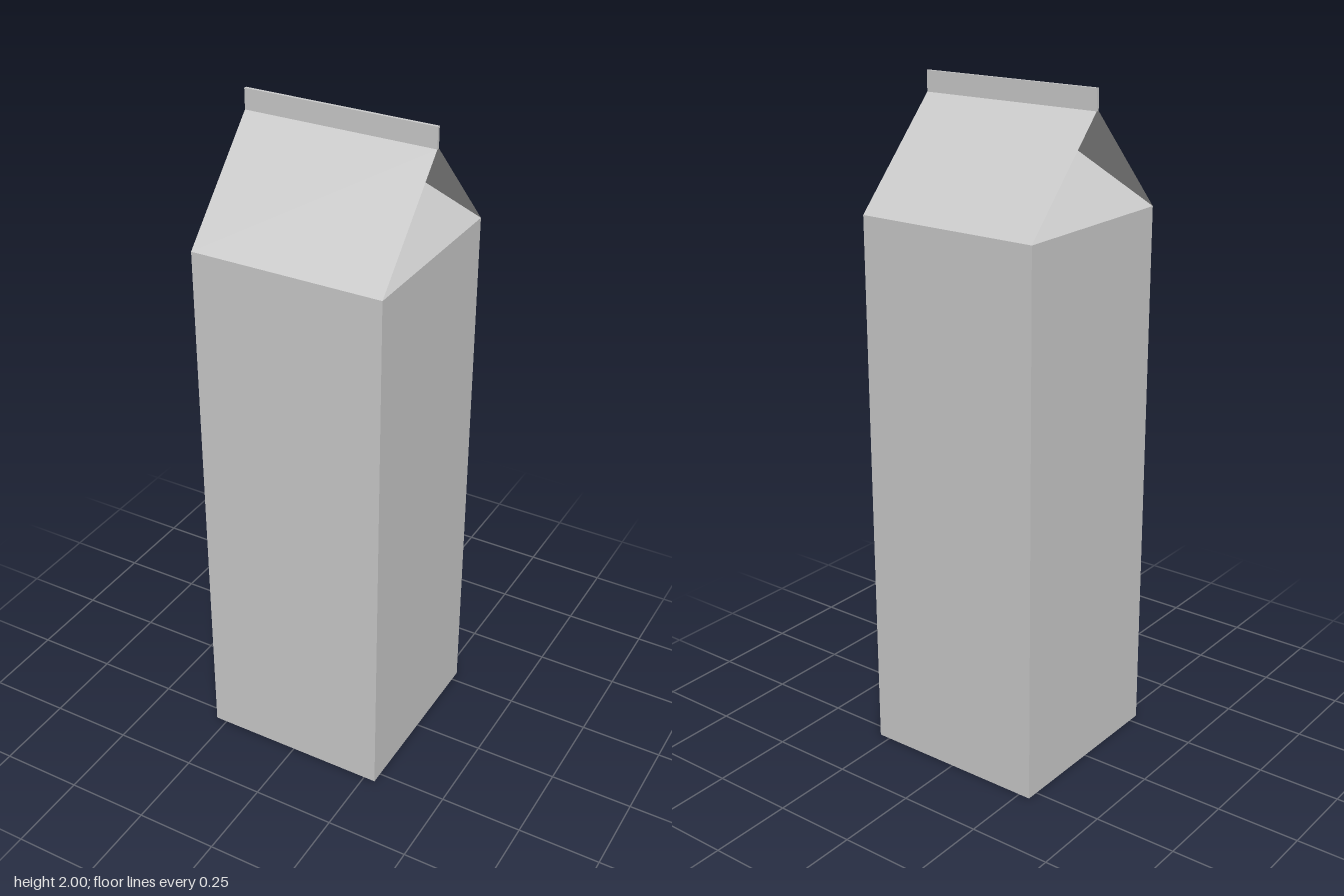
import * as THREE from 'three';

const HALF = 0.286;   // half width of the square body
const EAVE = 1.64;    // top of the body
const RIDGE = 1.94;   // top of the gable
const TOP = 2;        // top of the sealed fin
const FIN = 0.0045;   // half thickness of the fin

const material = new THREE.MeshStandardMaterial({ color: 0xcccccc, flatShading: true });
const cardMaterial = material.clone();
cardMaterial.side = THREE.DoubleSide;

// Flat four-cornered panel, corners counter-clockwise seen from outside
function panel(name, corners) {
  const geometry = new THREE.BufferGeometry();
  geometry.setAttribute('position', new THREE.Float32BufferAttribute(corners.flat(), 3));
  geometry.setIndex([0, 1, 2, 0, 2, 3]);
  geometry.computeVertexNormals();
  const mesh = new THREE.Mesh(geometry, cardMaterial);
  mesh.name = name;
  return mesh;
}

function block(name, width, height, depth, bottom) {
  const mesh = new THREE.Mesh(new THREE.BoxGeometry(width, height, depth), material);
  mesh.position.y = bottom + height / 2;
  mesh.name = name;
  return mesh;
}

export function createModel() {
  const carton = new THREE.Group();
  carton.name = 'gableTopCarton';

  // Tall square body and the thin sealed fin along the ridge
  carton.add(block('body', HALF * 2, EAVE, HALF * 2, 0));
  carton.add(block('topFin', HALF * 2, TOP - RIDGE, FIN * 2, RIDGE));

  // Each half turn adds one sloping roof panel and one folded-in gusset
  ['front', 'back'].forEach((end, i) => {
    const roof = panel(end + 'RoofPanel', [
      [-HALF, EAVE, HALF], [HALF, EAVE, HALF], [HALF, RIDGE, FIN], [-HALF, RIDGE, FIN],
    ]);
    // Gusset leans inward from the side edge to the middle of the ridge
    const gusset = panel(i === 0 ? 'leftGusset' : 'rightGusset', [
      [HALF, EAVE, HALF], [HALF, EAVE, -HALF], [0, RIDGE, -FIN], [0, RIDGE, FIN],
    ]);
    for (const part of [roof, gusset]) {
      part.rotation.y = i * Math.PI;
      carton.add(part);
    }
  });

  return carton;
}
